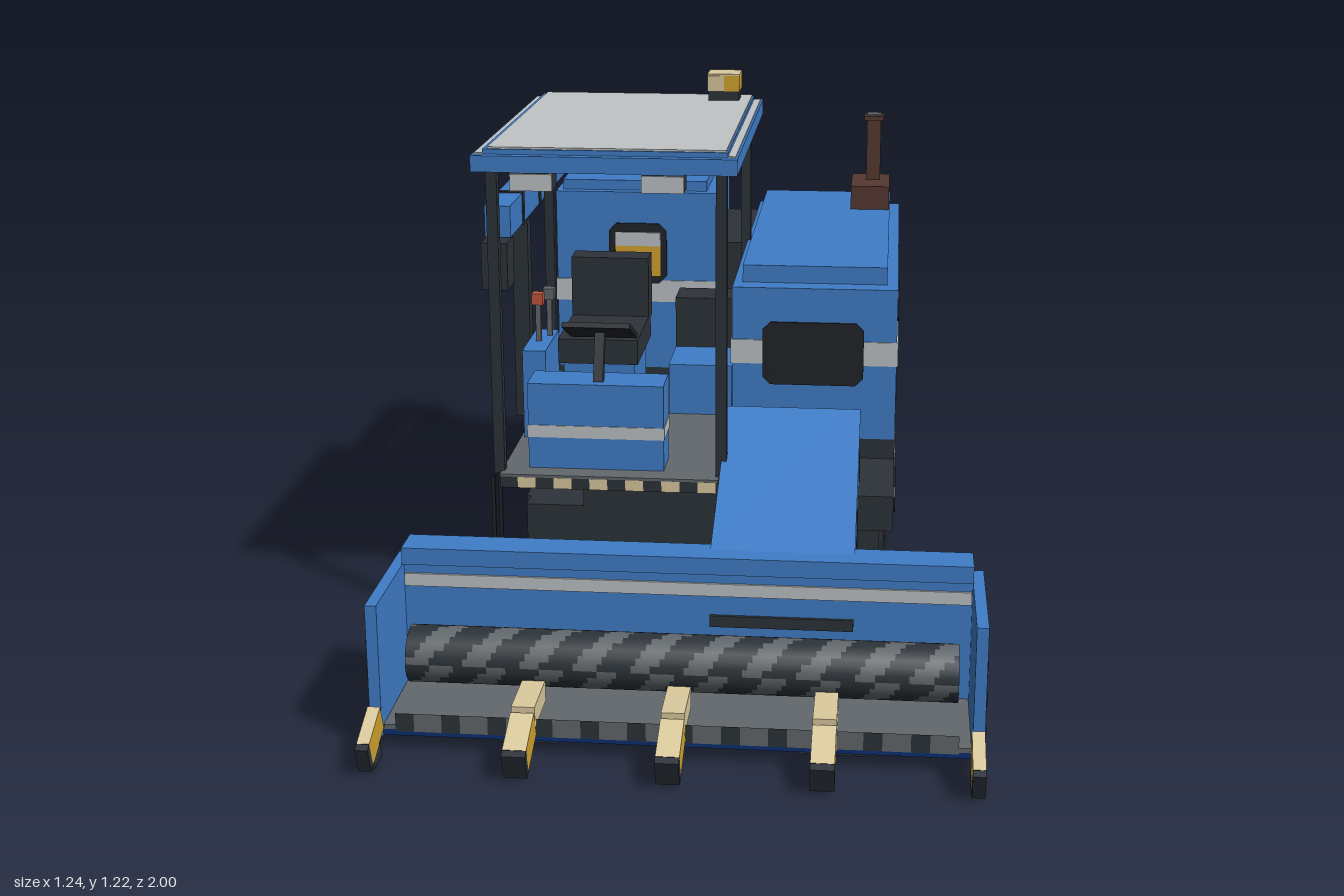
import * as THREE from 'three';

const mat = (name, color) => Object.assign(new THREE.MeshStandardMaterial({ color }), { name });
const blue = mat('body blue', 0x3f7dc8), navy = mat('navy', 0x0d2f72), dark = mat('charcoal', 0x2c3339),
  black = mat('black', 0x202328), grey = mat('steel grey', 0x62686c), light = mat('light grey', 0xc0c4c6),
  cream = mat('cream', 0xdccb9f), yellow = mat('yellow', 0xd4a52f), brown = mat('rust brown', 0x563830),
  red = mat('red', 0xc0563f);

export function createModel() {
  const model = new THREE.Group();
  model.name = 'harvester';

  const add = (name, geo, material, x = 0, y = 0, z = 0) => {
    const m = new THREE.Mesh(geo, material);
    m.name = name;
    m.position.set(x, y, z);
    model.add(m);
    return m;
  };
  // Box from its bounds
  const box = (name, material, x0, x1, y0, y1, z0, z1) =>
    add(name, new THREE.BoxGeometry(x1 - x0, y1 - y0, z1 - z0), material, (x0 + x1) / 2, (y0 + y1) / 2, (z0 + z1) / 2);
  // Thin plate with cut corners
  const plate = (name, material, w, h, c, x, y, z, ry = 0) => {
    const a = w / 2, b = h / 2;
    const s = new THREE.Shape([[-a + c, -b], [a - c, -b], [a, -b + c], [a, b - c], [a - c, b], [-a + c, b], [-a, b - c], [-a, -b + c]]
      .map(p => new THREE.Vector2(...p)));
    const m = add(name, new THREE.ExtrudeGeometry(s, { depth: 0.005, bevelEnabled: false }), material, x, y, z);
    m.rotation.y = ry;
    return m;
  };
  // Assign a material to each quad of a segmented grid
  const paint = (geo, cols, rows, rule) => {
    geo.clearGroups();
    for (let j = 0; j < rows; j++) for (let i = 0; i < cols; i++) geo.addGroup((j * cols + i) * 6, 6, rule(i, j));
    return geo;
  };
  const panel = (name, mats, w, h, cols, rows, rule, x, y, z, ry = 0) => {
    const m = add(name, paint(new THREE.PlaneGeometry(w, h, cols, rows), cols, rows, rule), mats, x, y, z);
    m.rotation.y = ry;
    return m;
  };
  // Extrude a (z, y) outline across x
  const profile = (name, material, pts, x0, x1) => {
    const s = new THREE.Shape(pts.map(([z, y]) => new THREE.Vector2(-z, y)));
    const g = new THREE.ExtrudeGeometry(s, { depth: x1 - x0, bevelEnabled: false });
    g.rotateY(Math.PI / 2);
    return add(name, g, material, x0);
  };
  // Square bar between two points
  const bar = (name, material, a, b, w) => {
    const p = new THREE.Vector3(...a), q = new THREE.Vector3(...b);
    const m = add(name, new THREE.BoxGeometry(w, w, p.distanceTo(q)), material);
    m.position.addVectors(p, q).multiplyScalar(0.5);
    m.lookAt(q);
    return m;
  };

  // Undercarriage
  box('chassis', dark, -0.27, 0.27, 0.09, 0.395, -0.69, 0.27);
  for (const s of [-1, 1]) {
    const a = s * 0.25, b = s * 0.41, x0 = Math.min(a, b), x1 = Math.max(a, b);
    box('track', dark, x0, x1, 0.03, 0.32, -0.64, 0.217);
    box('trackShoe', black, x0 - 0.005, x1 + 0.005, 0.018, 0.045, -0.64, 0.217);
    box('trackGuard', dark, x0 + 0.01, x1 - 0.01, 0.1, 0.32, -0.69, 0.27);
    [[0.13, 0.1], [-0.02, 0.09], [-0.3, 0.07], [-0.45, 0.09], [-0.58, 0.06], [0.19, 0.06]].forEach(([z, y], i) =>
      plate('rustPatch', brown, 0.035 + 0.01 * (i % 3), 0.03, 0.008, s * 0.411, y, z, s * Math.PI / 2));
    plate('trackBolt', grey, 0.05, 0.06, 0.015, s * 0.411, 0.235, -0.215, s * Math.PI / 2);
  }
  box('deck', dark, -0.46, 0.43, 0.32, 0.447, -0.845, -0.42);
  box('engineDeck', dark, 0.05, 0.43, 0.32, 0.447, -0.845, 0.115);
  box('deckStep', dark, 0.35, 0.43, 0.32, 0.4, 0.115, 0.37);
  plate('stepOpening', black, 0.18, 0.06, 0.02, 0.429, 0.36, 0.205, Math.PI / 2);
  for (const z of [0.04, -0.1, -0.26, -0.42, -0.57, -0.72])
    plate('deckBracket', grey, 0.05, 0.08, 0.012, 0.428, 0.37, z, Math.PI / 2);
  panel('rearHazardStrip', [cream, dark, yellow], 0.28, 0.07, 28, 6,
    (i, j) => (i + j) % 8 < 4 ? 1 : j > 3 ? 2 : 0, -0.08, 0.385, -0.848, Math.PI);
  box('hitch', dark, -0.035, 0.035, 0.175, 0.218, -1, -0.68);
  box('hitchPin', dark, -0.012, 0.012, 0.155, 0.257, -0.962, -0.938);

  // Engine housing
  box('engineHousing', blue, 0.055, 0.43, 0.447, 0.8, -0.845, 0.115);
  box('engineCap', blue, 0.075, 0.405, 0.8, 0.84, -0.8, 0.065);
  box('engineStripe', light, 0.052, 0.433, 0.622, 0.678, -0.848, 0.118);
  plate('frontGrille', black, 0.23, 0.147, 0.018, 0.24, 0.648, 0.117);
  plate('sideGrille', black, 0.145, 0.072, 0.015, 0.428, 0.74, -0.035, Math.PI / 2);
  for (const z of [-0.22, -0.53]) box('panelSeam', dark, 0.428, 0.434, 0.447, 0.622, z - 0.009, z + 0.009);
  for (const y of [0.585, 0.535, 0.485]) plate('louvre', black, 0.19, 0.02, 0.008, 0.428, y, -0.67, Math.PI / 2);
  box('gapFiller', dark, -0.03, 0.055, 0.447, 0.78, -0.83, -0.42);

  // Exhaust
  box('exhaustBase', brown, 0.305, 0.403, 0.84, 0.9, -0.745, -0.57);
  box('exhaustPipe', brown, 0.342, 0.378, 0.9, 1.055, -0.705, -0.665);
  box('exhaustRim', brown, 0.335, 0.385, 1.055, 1.066, -0.712, -0.66);
  box('exhaustOpening', grey, 0.342, 0.378, 1.066, 1.07, -0.705, -0.667);

  // Grain tank
  box('grainTank', blue, -0.435, -0.03, 0.447, 0.905, -0.845, -0.42);
  box('tankCap', blue, -0.42, -0.055, 0.905, 0.93, -0.83, -0.445);
  box('tankCapStrap', dark, -0.42, -0.055, 0.93, 0.934, -0.65, -0.625);
  box('tankStripe', light, -0.438, -0.027, 0.622, 0.678, -0.848, -0.417);
  plate('tankWindowFrame', black, 0.147, 0.155, 0.02, -0.228, 0.748, -0.42);
  box('tankWindowLight', light, -0.285, -0.17, 0.768, 0.803, -0.415, -0.411);
  box('tankWindowGrain', yellow, -0.285, -0.17, 0.69, 0.768, -0.415, -0.411);
  plate('tankSideWindow', black, 0.18, 0.13, 0.03, -0.434, 0.756, -0.64, -Math.PI / 2);
  plate('tankSideGrain', cream, 0.09, 0.08, 0.03, -0.437, 0.756, -0.64, -Math.PI / 2);
  const triangle = add('warningTriangle', new THREE.CircleGeometry(0.075, 3, Math.PI / 2), red, -0.15, 0.65, -0.851);
  triangle.rotation.y = Math.PI;
  for (const x of [0.315, -0.245]) plate('rearLamp', red, 0.07, 0.05, 0.012, x, 0.525, -0.844, Math.PI);

  // Rear box
  box('rearBox', dark, 0.08, 0.3, 0.39, 0.525, -0.945, -0.845);
  box('rearBoxBumper', yellow, 0.08, 0.3, 0.345, 0.39, -0.945, -0.845);

  // Unloading auger
  box('augerFoot', dark, -0.47, -0.358, 0.35, 0.525, -0.945, -0.84);
  box('augerRiser', blue, -0.46, -0.37, 0.525, 0.9, -0.93, -0.862);
  box('augerElbow', dark, -0.47, -0.358, 0.9, 0.99, -0.945, -0.845);
  box('augerTube', blue, -0.52, -0.46, 0.893, 0.966, -0.925, 0.065);
  for (const z of [-0.095, -0.32, -0.55, -0.785]) box('augerBand', dark, -0.523, -0.457, 0.89, 0.969, z - 0.01, z + 0.01);
  box('augerSpout', dark, -0.52, -0.46, 0.78, 0.89, 0.035, 0.115);
  box('augerSupport', dark, -0.495, -0.457, 0.4, 0.893, -0.17, -0.13);

  // Cab floor, ladder and posts
  box('cabFloor', dark, -0.44, 0.045, 0.395, 0.42, -0.42, 0.37);
  box('cabFloorMat', grey, -0.44, 0.045, 0.42, 0.426, -0.42, 0.37);
  panel('cabFloorEdge', [cream, dark], 0.48, 0.025, 24, 1, i => (i % 4 < 2 ? 1 : 0), -0.2, 0.408, 0.372);
  for (const z of [0.287, 0.366]) box('ladderRail', black, -0.46, -0.452, 0.12, 0.42, z - 0.004, z + 0.004);
  box('ladderRung', black, -0.46, -0.452, 0.12, 0.128, 0.287, 0.366);
  for (const x of [-0.445, 0.05]) for (const z of [0.335, -0.378])
    box('cabPost', dark, x - 0.012, x + 0.012, 0.42, 1.11, z - 0.012, z + 0.012);

  // Roof
  box('roof', blue, -0.48, 0.087, 1.108, 1.143, -0.43, 0.39);
  box('roofRaised', blue, -0.457, 0.066, 1.143, 1.154, -0.41, 0.37);
  box('roofEdgePanel', light, -0.475, -0.457, 1.143, 1.146, -0.41, 0.37);
  box('roofEdgePanel', light, 0.066, 0.082, 1.143, 1.146, -0.41, 0.37);
  box('roofPanel', light, -0.447, 0.062, 1.154, 1.158, -0.405, 0.365);
  for (const x of [-0.35, -0.07]) {
    box('workLight', dark, x - 0.045, x + 0.045, 1.07, 1.108, 0.335, 0.39);
    box('workLightLens', light, x - 0.045, x + 0.045, 1.07, 1.106, 0.39, 0.396);
  }
  box('beaconBase', dark, -0.038, 0.036, 1.155, 1.18, -0.378, -0.305);
  box('beacon', yellow, -0.04, 0.038, 1.18, 1.218, -0.38, -0.303);
  box('beaconTop', cream, -0.04, 0.038, 1.218, 1.222, -0.38, -0.303);
  box('beaconFlash', cream, -0.04, 0.0, 1.18, 1.218, -0.303, -0.3);

  // Driver's station
  box('console', blue, -0.383, -0.08, 0.426, 0.622, 0.22, 0.32);
  box('consoleStripe', light, -0.385, -0.078, 0.498, 0.526, 0.218, 0.322);
  bar('steeringColumn', dark, [-0.228, 0.62, 0.29], [-0.228, 0.73, 0.25], 0.022);
  const wheel = box('steeringWheel', black, -0.303, -0.153, 0.724, 0.736, 0.185, 0.325);
  wheel.rotation.x = -0.42;
  box('seatBase', blue, -0.36, -0.19, 0.426, 0.57, -0.26, -0.04);
  box('seatCushion', dark, -0.37, -0.18, 0.57, 0.63, -0.28, -0.02);
  box('seatBack', dark, -0.37, -0.18, 0.62, 0.777, -0.31, -0.24);
  box('sideConsole', blue, -0.432, -0.378, 0.426, 0.636, -0.08, 0.11);
  box('toolBox', blue, -0.115, 0.037, 0.426, 0.55, -0.36, -0.1);
  box('toolBoxLid', dark, -0.115, 0.037, 0.55, 0.675, -0.36, -0.26);
  [[-0.408, 0.02, red], [-0.39, -0.03, grey]].forEach(([x, z, m]) => {
    box('lever', grey, x - 0.006, x + 0.006, 0.636, 0.725, z - 0.006, z + 0.006);
    box('leverKnob', m, x - 0.013, x + 0.013, 0.725, 0.752, z - 0.013, z + 0.013);
  });

  // Feeder house
  profile('feederHouse', blue, [[0.62, 0.35], [0.58, 0.15], [0.24, 0.345], [0.3, 0.482]], 0.05, 0.352);
  profile('feederCollar', navy, [[0.3, 0.478], [0.24, 0.345], [0.115, 0.41], [0.17, 0.53]], 0.053, 0.349);
  profile('feederTop', blue, [[0.62, 0.352], [0.62, 0.347], [0.17, 0.528], [0.17, 0.535]], 0.05, 0.352);
  for (const [z, y] of [[0.475, 0.405], [0.295, 0.48]])
    profile('feederBand', dark, [[z + 0.01, y - 0.004], [z - 0.055, y - 0.18], [z - 0.072, y - 0.17], [z - 0.01, y + 0.004]], 0.048, 0.354);
  for (const x of [0.1, 0.3]) bar('liftCylinder', grey, [x, 0.1, 0.53], [x, 0.205, 0.26], 0.035);

  // Header
  box('headerBackWall', blue, -0.6, 0.6, 0.04, 0.32, 0.58, 0.64);
  box('headerTopRail', blue, -0.597, 0.597, 0.32, 0.357, 0.575, 0.655);
  box('headerStripe', light, -0.595, 0.595, 0.268, 0.296, 0.64, 0.645);
  box('headerMouth', dark, 0.052, 0.352, 0.2, 0.225, 0.64, 0.647);
  box('headerFloorBase', navy, -0.597, 0.597, 0.032, 0.045, 0.58, 0.865);
  box('headerFloor', grey, -0.595, 0.595, 0.045, 0.055, 0.64, 0.865);
  panel('cutterBar', [grey, dark], 1.14, 0.04, 60, 1, i => (i % 5 < 2 ? 1 : 0), 0, 0.062, 0.867).material
    .forEach(m => { m.side = THREE.DoubleSide; });
  for (let i = 0; i < 16; i++) box('cutterTooth', dark, -0.55 + i * 0.071, -0.52 + i * 0.071, 0.054, 0.058, 0.835, 0.864);
  for (const x of [-0.37, 0.25]) box('headerSkid', dark, x, x + 0.13, 0.015, 0.034, 0.62, 0.84);
  for (const s of [-1, 1]) {
    box('headerEndPlate', blue, s * 0.608 - 0.012, s * 0.608 + 0.012, 0.032, 0.32, 0.58, 0.877);
    panel('endHazardPanel', [cream, dark, yellow], 0.17, 0.205, 17, 20,
      (i, j) => (s * i - j + 40) % 8 < 4 ? 1 : j > 13 ? 2 : 0, s * 0.622, 0.14, 0.79, s * Math.PI / 2);
  }

  // Helically striped gathering roller
  const rollerGeo = paint(new THREE.CylinderGeometry(0.06, 0.06, 1.14, 24, 114, true), 24, 114,
    (i, j) => ((i / 24) * 24 + j + 240) % 12 < 5 ? 1 : 0);
  add('gatheringRoller', rollerGeo, [dark, grey], 0, 0.145, 0.71).rotation.z = Math.PI / 2;

  // Crop dividers, box faces ordered +x -x +y -y +z -z
  for (const x of [-0.606, -0.303, 0, 0.303, 0.606]) {
    const end = Math.abs(x) > 0.5, w = end ? 0.026 : 0.048;
    const d = add('divider', new THREE.BoxGeometry(w, 0.06, 0.1), [yellow, yellow, cream, yellow, dark, yellow], x, 0.062, 0.93);
    d.rotation.x = 0.36;
    const tip = add('dividerTip', new THREE.BoxGeometry(w, 0.06, 0.02), dark, x, 0.041, 0.983);
    tip.rotation.x = 0.36;
    if (!end) box('dividerArm', cream, x - 0.024, x + 0.024, 0.07, 0.116, 0.757, 0.885);
    else box('dividerFoot', dark, x - 0.013, x + 0.013, 0.002, 0.034, 0.9, 0.96);
  }
  return model;
}
